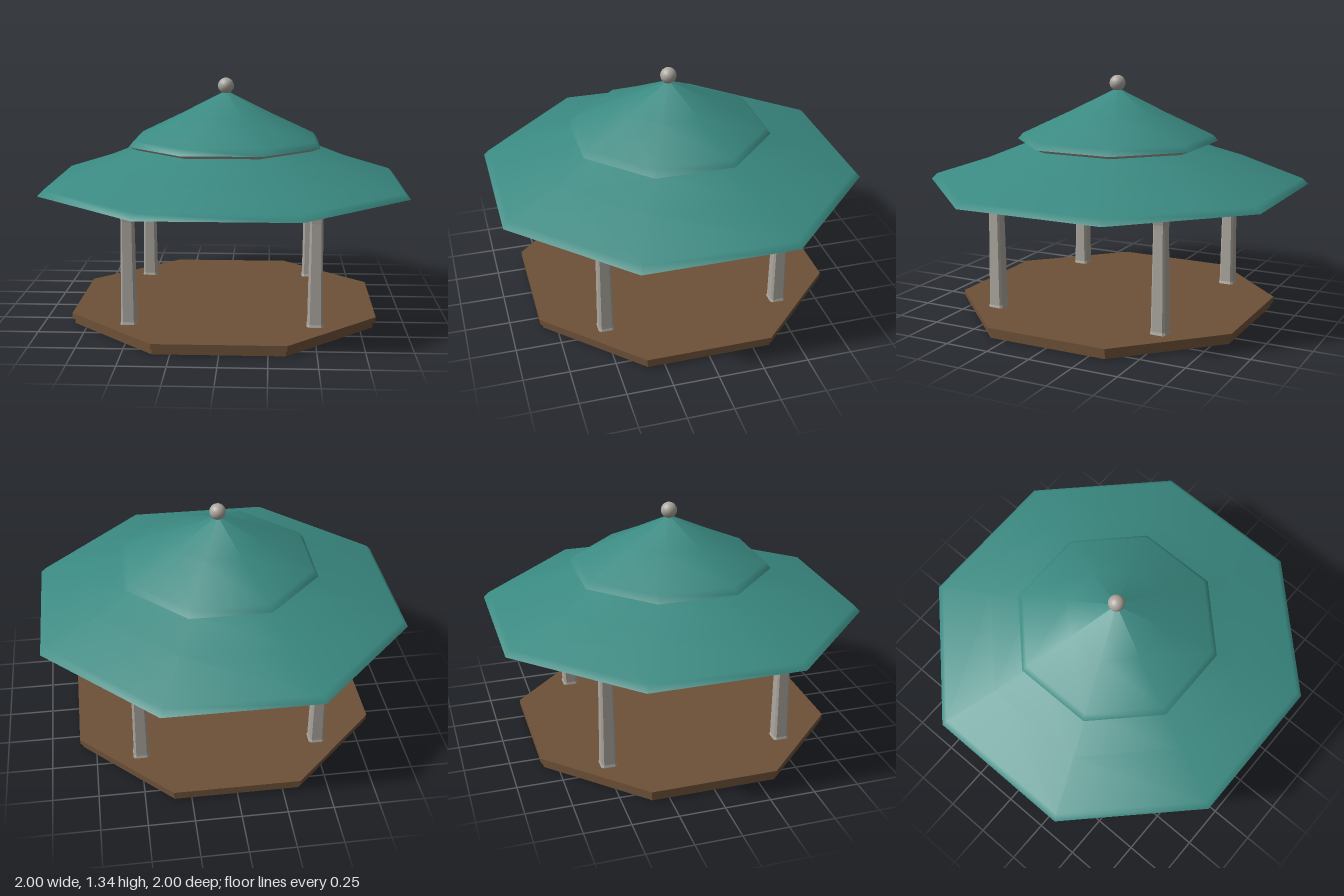
import * as THREE from 'three';

const mat = (name, color) => Object.assign(new THREE.MeshStandardMaterial({ color }), { name });
const APOTHEM = 1 / Math.cos(Math.PI / 8);

export function createModel() {
  const teal = mat('teal roof', 0x3a8a82);
  const stone = mat('pale stone', 0xaca79f);
  const wood = mat('brown wood', 0x6e5138);
  const metal = mat('dark metal', 0x3a3430);
  const glow = mat('amber lantern', 0xd9a24e);

  const model = new THREE.Group();
  model.name = 'pavilion';

  const add = (parent, name, geometry, material, x = 0, y = 0, z = 0) => {
    const mesh = new THREE.Mesh(geometry, material);
    mesh.name = name;
    mesh.position.set(x, y, z);
    parent.add(mesh);
    return mesh;
  };
  const flat = (geometry) => {
    const g = geometry.index ? geometry.toNonIndexed() : geometry;
    g.computeVertexNormals();
    return g;
  };
  // Octagonal solid with sides facing the axes; radii are measured to the flats
  const octagon = (apothem, height) =>
    flat(new THREE.CylinderGeometry(apothem * APOTHEM, apothem * APOTHEM, height, 8).rotateY(Math.PI / 8));
  const octLathe = (profile) =>
    new THREE.LatheGeometry(profile.map(([r, y]) => new THREE.Vector2(r * APOTHEM, y)), 8).rotateY(Math.PI / 8);

  // Two-step floor
  add(model, 'lowerStep', octagon(0.825, 0.03), wood, 0, 0.015);
  add(model, 'floor', octagon(0.84, 0.03), wood, 0, 0.045);

  // Chamfered square post, lofted through [half width, height] rings
  const postGeometry = () => {
    const rings = [[0.045, 0.06], [0.041, 0.075], [0.034, 0.62], [0.035, 0.645], [0.043, 0.685], [0.043, 0.74]];
    const pos = [], index = [];
    for (const [h, y] of rings) {
      const c = h * 0.72;
      for (const [x, z] of [[h, -c], [h, c], [c, h], [-c, h], [-h, c], [-h, -c], [-c, -h], [c, -h]]) pos.push(x, y, z);
    }
    for (let r = 0; r < rings.length - 1; r++) {
      for (let i = 0; i < 8; i++) {
        const a = r * 8 + i, b = r * 8 + (i + 1) % 8;
        index.push(a, a + 8, b, b, a + 8, b + 8);
      }
    }
    const g = new THREE.BufferGeometry();
    g.setAttribute('position', new THREE.Float32BufferAttribute(pos, 3));
    g.setIndex(index);
    return flat(g);
  };
  const post = postGeometry();
  for (const x of [-0.5, 0.5]) {
    for (const z of [-0.5, 0.5]) add(model, 'post', post, stone, x, 0, z);
  }

  // Lower roof with its ceiling
  add(model, 'lowerRoof', octLathe([[1, 0.733], [0.97, 0.765], [0.69, 0.862], [0.47, 0.957], [0.4, 0.98]]), teal);
  add(model, 'ceiling', octLathe([[0, 0.724], [0.5, 0.728], [1, 0.733]]), stone);

  // Upper roof with its eave underside
  add(model, 'upperRoof', octLathe([[0.527, 0.975], [0.5, 1.008], [0.25, 1.135], [0, 1.27]]), teal);
  add(model, 'upperEave', octLathe([[0.4, 0.95], [0.48, 0.955], [0.527, 0.975]]), stone);

  // Ball finial
  add(model, 'finial', new THREE.SphereGeometry(0.045, 20, 14), stone, 0, 1.297);

  // Hanging lantern
  const lantern = new THREE.Group();
  lantern.name = 'lantern';
  model.add(lantern);
  add(lantern, 'lanternRod', new THREE.CylinderGeometry(0.005, 0.005, 0.07, 8), metal, 0, 0.695);
  add(lantern, 'lanternCap', octagon(0.056, 0.012), metal, 0, 0.66);
  add(lantern, 'lanternCollar', octagon(0.045, 0.01), metal, 0, 0.65);
  add(lantern, 'lanternLight', octagon(0.041, 0.085), glow, 0, 0.605);
  add(lantern, 'lanternBase', octagon(0.047, 0.012), metal, 0, 0.558);
  for (let i = 0; i < 8; i++) {
    const a = (i + 0.5) * Math.PI / 4, r = 0.0435;
    add(lantern, 'lanternBar', new THREE.BoxGeometry(0.004, 0.085, 0.004), metal,
      Math.sin(a) * r, 0.605, Math.cos(a) * r).rotation.y = a;
  }

  return model;
}
